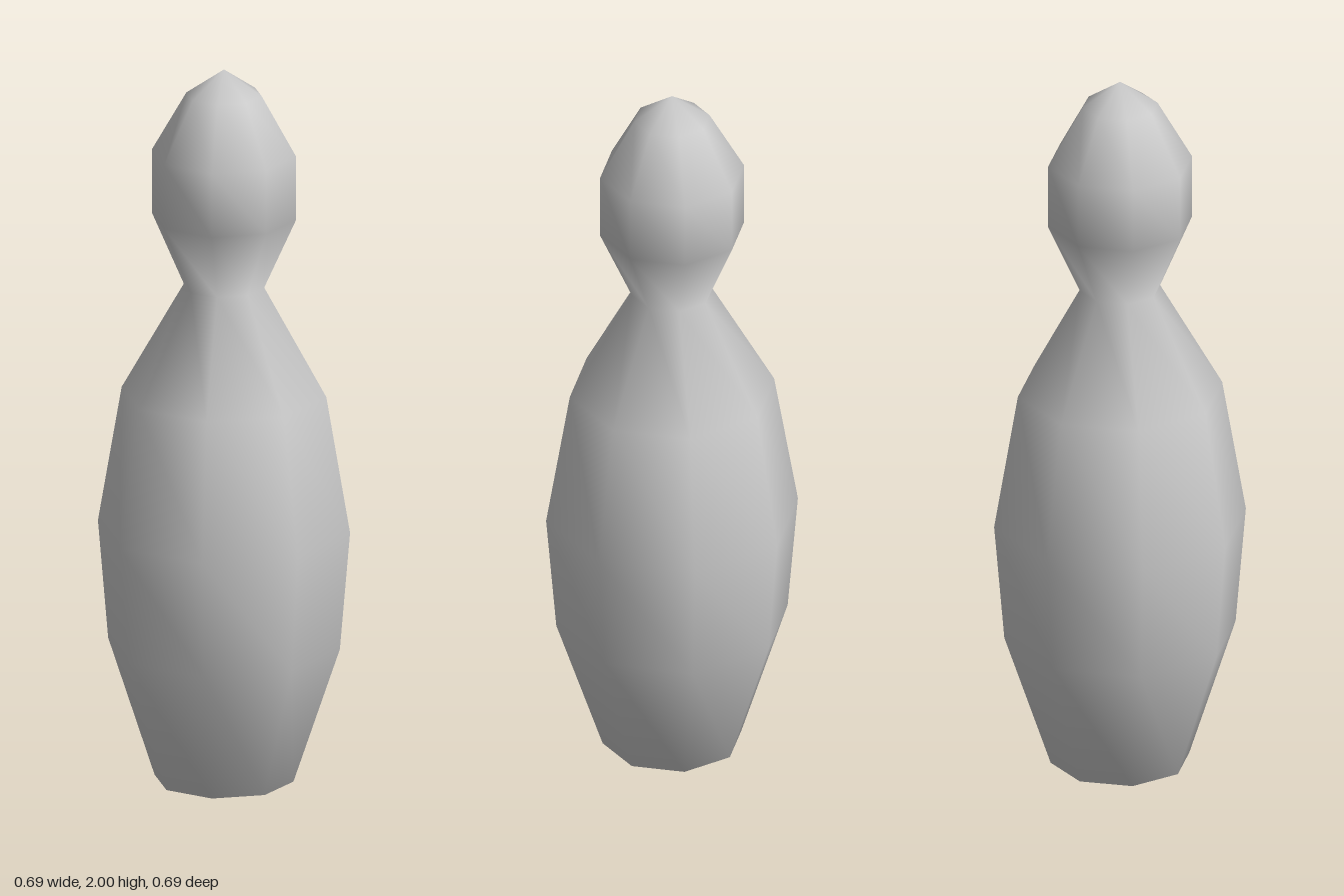
import * as THREE from 'three';
import { mergeVertices } from 'three/addons/utils/BufferGeometryUtils.js';

export function createModel() {
  const group = new THREE.Group();
  group.name = 'bowlingPin';

  const paleGrey = new THREE.MeshStandardMaterial({ color: 0xcccccc });
  paleGrey.name = 'paleGrey';

  // Radius and height, from the closed base up through belly, neck and head
  const profile = [
    [0, 0], [0.19, 0], [0.317, 0.38], [0.345, 0.71], [0.28, 1.09],
    [0.11, 1.39], [0.197, 1.585], [0.197, 1.765], [0.103, 1.93], [0, 2],
  ].map(([r, y]) => new THREE.Vector2(r, y));

  // Eight-sided turned body, smoothed across every edge
  let geometry = new THREE.LatheGeometry(profile, 8);
  geometry.deleteAttribute('normal');
  geometry.deleteAttribute('uv');
  geometry = mergeVertices(geometry, 1e-4);
  geometry.computeVertexNormals();

  const body = new THREE.Mesh(geometry, paleGrey);
  body.name = 'pinBody';
  group.add(body);
  return group;
}
